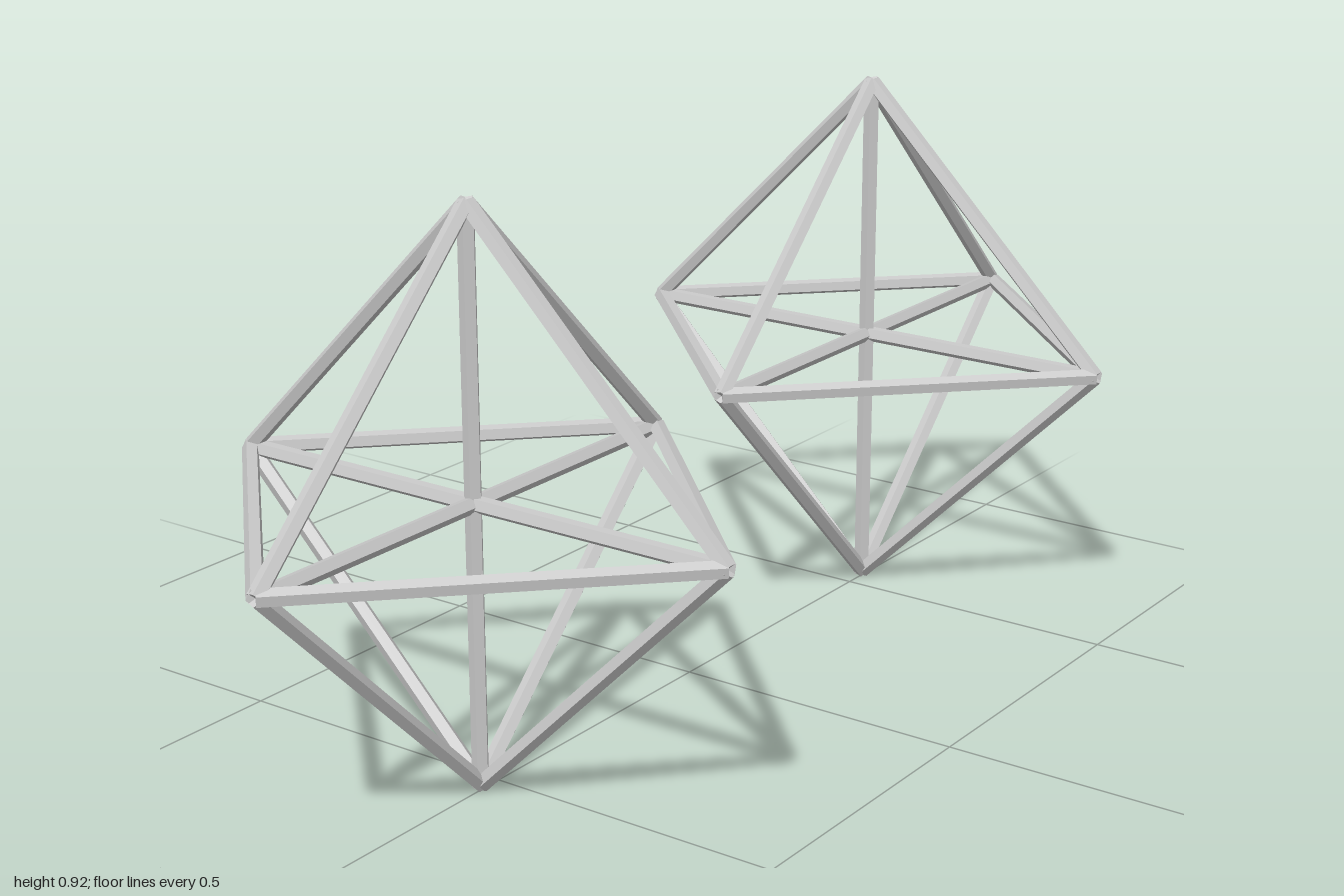
import * as THREE from 'three';

const RADIUS = 0.45; // centre to corner
const STRUT = 0.0137; // strut radius
const material = new THREE.MeshStandardMaterial({ color: 0xcccccc, flatShading: true });

// Slim five-sided rod between two points
function strut(name, a, b) {
  const dir = b.clone().sub(a);
  const mesh = new THREE.Mesh(new THREE.CylinderGeometry(STRUT, STRUT, dir.length(), 5), material);
  mesh.name = name;
  mesh.position.copy(a).add(b).multiplyScalar(0.5);
  mesh.quaternion.setFromUnitVectors(new THREE.Vector3(0, 1, 0), dir.normalize());
  return mesh;
}

// Octahedral frame: twelve outer edges and three crossing axes
function octahedronFrame(name) {
  const frame = new THREE.Group();
  frame.name = name;
  const corners = [];
  for (let axis = 0; axis < 3; axis++) {
    for (const sign of [1, -1]) {
      corners.push(new THREE.Vector3().setComponent(axis, sign * RADIUS));
    }
  }
  for (let i = 0; i < 6; i++) {
    for (let j = i + 1; j < 6; j++) {
      const opposite = corners[i].dot(corners[j]) < 0;
      // Axes run from the negative corner to the positive one
      frame.add(opposite
        ? strut('axisStrut', corners[j], corners[i])
        : strut('edgeStrut', corners[i], corners[j]));
    }
  }
  return frame;
}

export function createModel() {
  const model = new THREE.Group();
  model.name = 'octahedronFrames';
  for (const side of [1, -1]) {
    const frame = octahedronFrame(side > 0 ? 'leftFrame' : 'rightFrame');
    frame.position.set(side * 0.541, 0.459, 0);
    model.add(frame);
  }
  return model;
}
